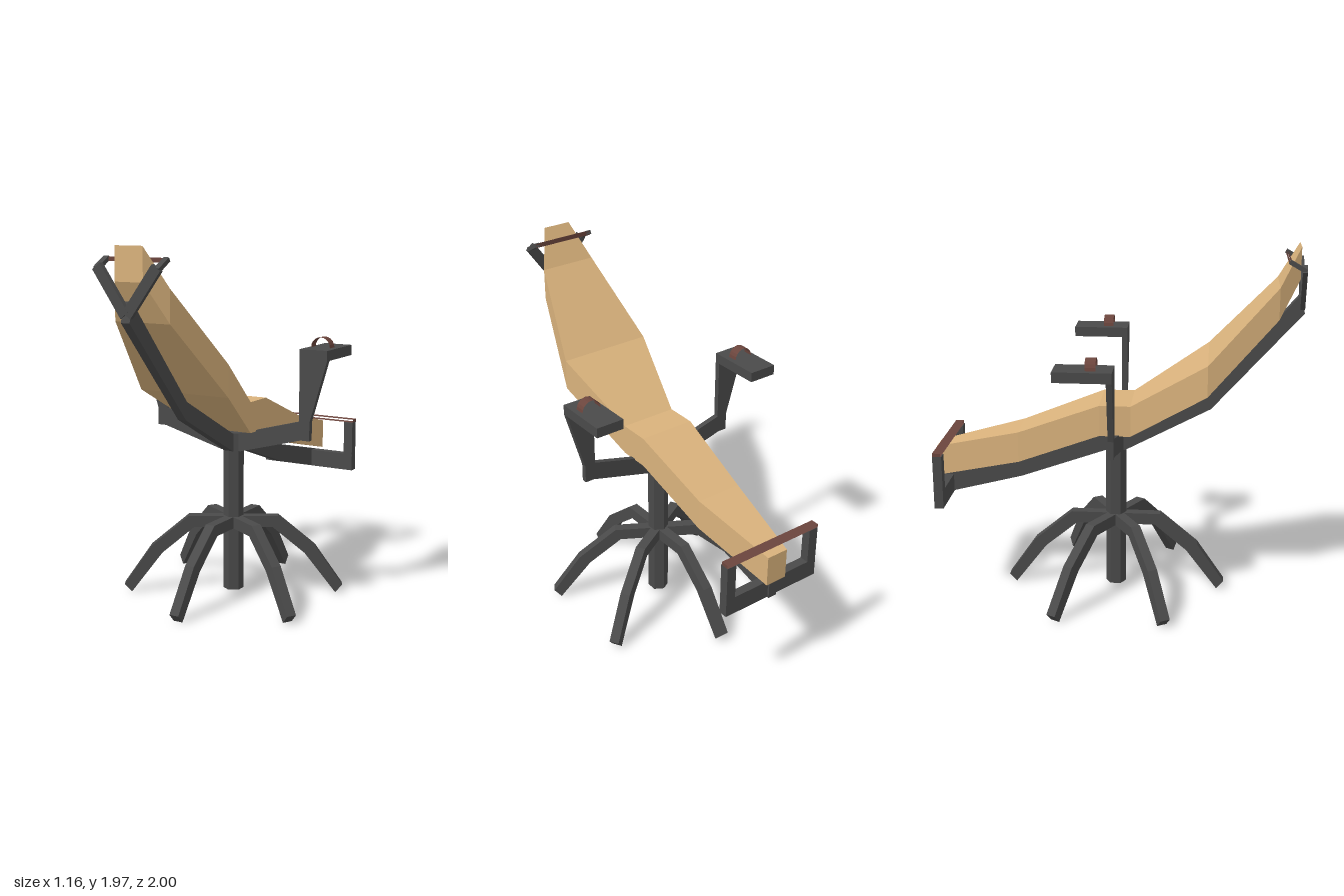
import * as THREE from 'three';

const mat = (color) => new THREE.MeshStandardMaterial({ color, flatShading: true });

export function createModel() {
  const model = new THREE.Group();
  const frame = mat(0x4a4a4a), leather = mat(0xd9b27c), grip = mat(0x6b453d);
  grip.side = THREE.DoubleSide;

  const add = (name, geometry, material, parent = model) => {
    const mesh = new THREE.Mesh(geometry, material);
    mesh.name = name;
    parent.add(mesh);
    return mesh;
  };

  // Extrudes an outline to a depth centred on z = 0
  const slab = (points, depth) => {
    const shape = new THREE.Shape(points.map(([x, y]) => new THREE.Vector2(x, y)));
    return new THREE.ExtrudeGeometry(shape, { depth, bevelEnabled: false }).translate(0, 0, -depth / 2);
  };

  // Rectangular bar between two points
  const bar = (a, b, w, h) => {
    const from = new THREE.Vector3(...a), to = new THREE.Vector3(...b);
    const holder = new THREE.Object3D();
    holder.position.copy(from).add(to).multiplyScalar(0.5);
    holder.lookAt(to);
    holder.updateMatrix();
    return new THREE.BoxGeometry(w, h, from.distanceTo(to)).applyMatrix4(holder.matrix);
  };

  // Four-sided sleeve, open along y
  const sleeve = (w, h, d) =>
    new THREE.CylinderGeometry(Math.SQRT1_2, Math.SQRT1_2, 1, 4, 1, true).rotateY(Math.PI / 4).scale(w, h, d);

  // Reclined cushion: z, top height, half width at each station
  const stations = [
    [0.965, 1.97, 0.08], [0.86, 1.77, 0.16], [0.5, 1.375, 0.265], [0.09, 1.113, 0.16],
    [-0.08, 1.113, 0.16], [-0.53, 0.94, 0.13], [-1, 0.825, 0.062],
  ];
  const cushion = new THREE.BoxGeometry(1, 1, 1, 1, 1, stations.length - 1);
  const pos = cushion.attributes.position;
  for (let i = 0; i < pos.count; i++) {
    const [z, y, half] = stations[Math.round((0.5 - pos.getZ(i)) * (stations.length - 1))];
    pos.setXYZ(i, Math.sign(pos.getX(i)) * half, y - (pos.getY(i) > 0 ? 0 : 0.17), z);
  }
  cushion.computeVertexNormals();
  add('cushion', cushion, leather);

  // Spine under the cushion, drawn as (z, y) and turned into the side plane
  const spine = slab([
    [0.975, 1.71], [0.51, 1.165], [0.05, 0.92], [-0.06, 0.917], [-0.53, 0.75], [-0.98, 0.645],
    [-0.98, 0.545], [-0.92, 0.55], [-0.53, 0.65], [-0.05, 0.82], [0.05, 0.82], [0.52, 1.07], [1, 1.61],
  ], 0.05);
  add('spine', spine.rotateY(-Math.PI / 2), frame);

  // Central post
  add('post', new THREE.CylinderGeometry(0.057, 0.057, 0.9, 6).translate(0, 0.47, 0), frame);

  // Six bent legs
  const legShape = slab([
    [0.02, 0.445], [0.25, 0.445], [0.46, 0.27], [0.615, 0.045],
    [0.575, 0], [0.4, 0.23], [0.22, 0.38], [0.02, 0.38],
  ], 0.055);
  for (let i = 0; i < 6; i++) add('leg', legShape, frame).rotation.y = Math.PI / 2 + (i * Math.PI) / 3;

  // Armrests with pads and control wheels, and the head fork
  const armShape = slab([
    [0, 0.82], [0.06, 0.82], [0.43, 0.92], [0.482, 0.92], [0.482, 1.02], [0.58, 1.355],
    [0.58, 1.41], [0.42, 1.41], [0.42, 1.02], [0.05, 0.92], [0, 0.92],
  ], 0.03).translate(0, 0, 0.013);
  const half = () => {
    const g = new THREE.Group();
    add('arm', armShape, frame, g);
    add('armPad', new THREE.BoxGeometry(0.16, 0.055, 0.303).translate(0.5, 1.3825, -0.1235), frame, g);
    const wheel = new THREE.CylinderGeometry(0.055, 0.055, 0.055, 10, 1, true, Math.PI / 2, Math.PI);
    add('controlWheel', wheel.rotateX(Math.PI / 2).translate(0.5, 1.413, -0.083), grip, g);
    add('headFork', bar([0.005, 1.645, 0.988], [0.17, 1.872, 0.98], 0.025, 0.055), frame, g);
    add('headForkTip', bar([0.172, 1.86, 0.985], [0.172, 1.908, 0.9], 0.03, 0.022), frame, g);
    add('footUpright', new THREE.BoxGeometry(0.055, 0.295, 0.05).translate(0.272, 0.6975, -0.945), frame, g);
    return g;
  };
  const left = half(), right = half();
  left.name = 'leftSide';
  right.name = 'rightSide';
  right.scale.x = -1;
  model.add(left, right);

  // Foot bracket and the two grip bars
  add('footCrossbar', new THREE.BoxGeometry(0.6, 0.1, 0.05).translate(0, 0.598, -0.945), frame);
  add('footBar', sleeve(0.6, 0.045, 0.018).rotateX(Math.PI / 2).translate(0, 0.855, -0.947), grip);
  add('headBar', sleeve(0.36, 0.022, 0.01).translate(0, 1.903, 0.905), grip);

  return model;
}
